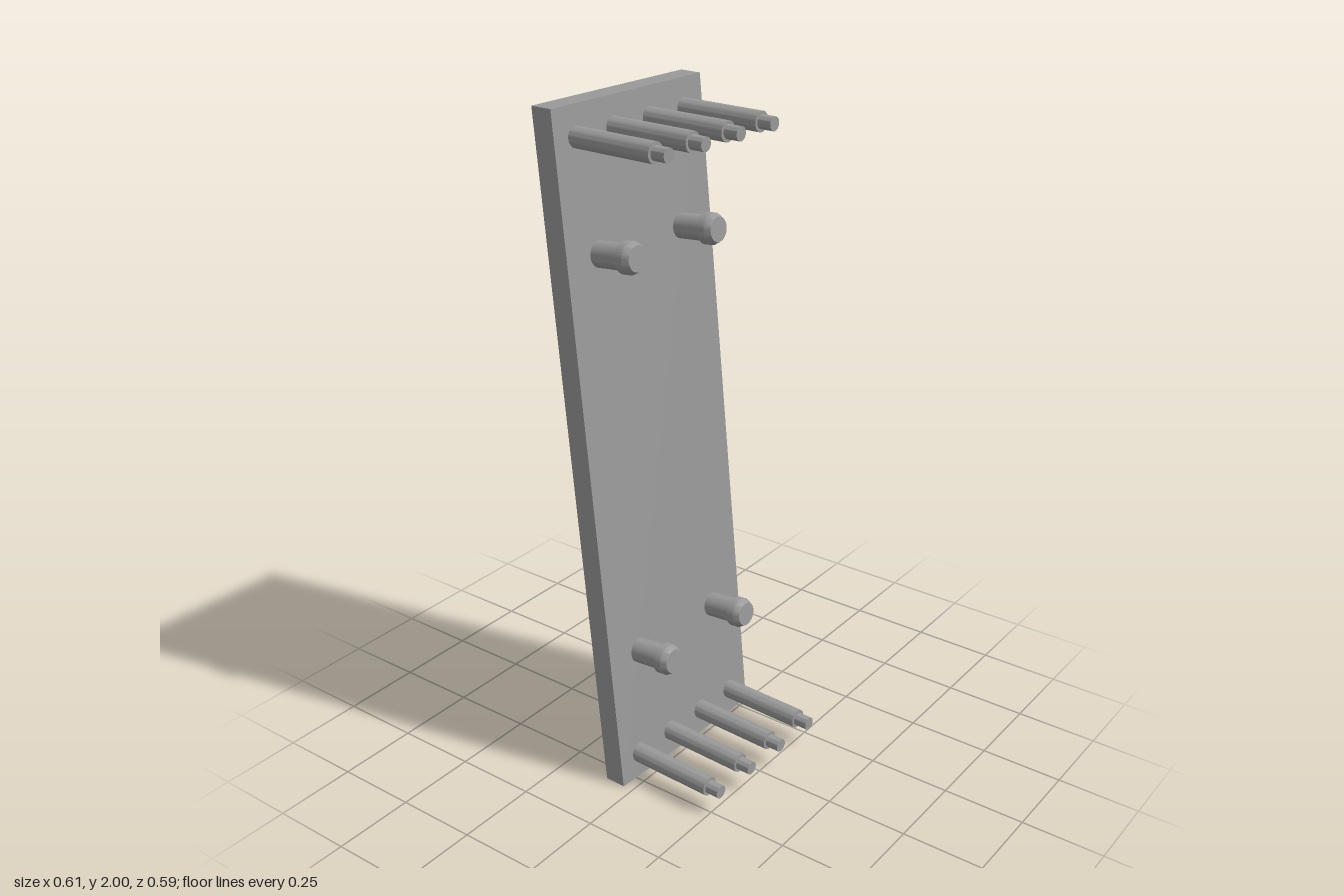
import * as THREE from 'three';
import { toCreasedNormals } from 'three/addons/utils/BufferGeometryUtils.js';

const WIDTH = 0.603, HEIGHT = 2, THICKNESS = 0.067;
const SLOPE = 0.0986; // backward lean of the plate per unit of height
const frontZ = (y) => -0.0195 - SLOPE * y;

const material = new THREE.MeshStandardMaterial({ color: 0x999999 });

// Turned part along +z from [radius, distance] pairs
function turned(profile) {
  const points = profile.map(([r, d]) => new THREE.Vector2(r, d));
  const geometry = new THREE.LatheGeometry(points, 32).rotateX(Math.PI / 2);
  return toCreasedNormals(geometry, 0.5);
}

function addMesh(parent, name, geometry, x = 0, y = 0, z = 0) {
  const mesh = new THREE.Mesh(geometry, material);
  mesh.name = name;
  mesh.position.set(x, y, z);
  parent.add(mesh);
  return mesh;
}

export function createModel() {
  const model = new THREE.Group();
  model.name = 'pinnedPanel';

  // Everything is turned slightly about the vertical axis
  const panel = new THREE.Group();
  panel.name = 'panel';
  panel.rotation.y = -0.0415;
  panel.position.x = -0.0064;
  model.add(panel);

  // Leaning plate: a box sheared backward, top and bottom kept level
  const plate = new THREE.BoxGeometry(WIDTH, HEIGHT, THICKNESS);
  plate.translate(0, HEIGHT / 2, -THICKNESS / 2);
  const pos = plate.attributes.position;
  for (let i = 0; i < pos.count; i++) pos.setZ(i, pos.getZ(i) + frontZ(pos.getY(i)));
  addMesh(panel, 'plate', toCreasedNormals(plate, 0.5));

  // Rows of level stepped pins near the top and bottom edges
  const pin = turned([
    [0, -0.01], [0.029, -0.01], [0.029, 0.27], [0.02, 0.27], [0.02, 0.313], [0, 0.313],
  ]);
  for (const y of [0.077, 1.916]) {
    for (let i = 0; i < 4; i++) {
      addMesh(panel, 'pin', pin, (i - 1.5) * 0.147 + 0.001, y, frontZ(y));
    }
  }

  // Headed knobs standing square to the leaning face
  const knob = turned([
    [0, -0.01], [0.037, -0.01], [0.037, 0.093], [0.0455, 0.093],
    [0.0455, 0.117], [0.036, 0.135], [0, 0.135],
  ]);
  for (const y of [0.402, 1.596]) {
    for (const side of [-1, 1]) {
      const mesh = addMesh(panel, 'knob', knob, side * 0.172 - 0.002, y, frontZ(y));
      mesh.rotation.x = -Math.atan(SLOPE);
    }
  }

  return model;
}
